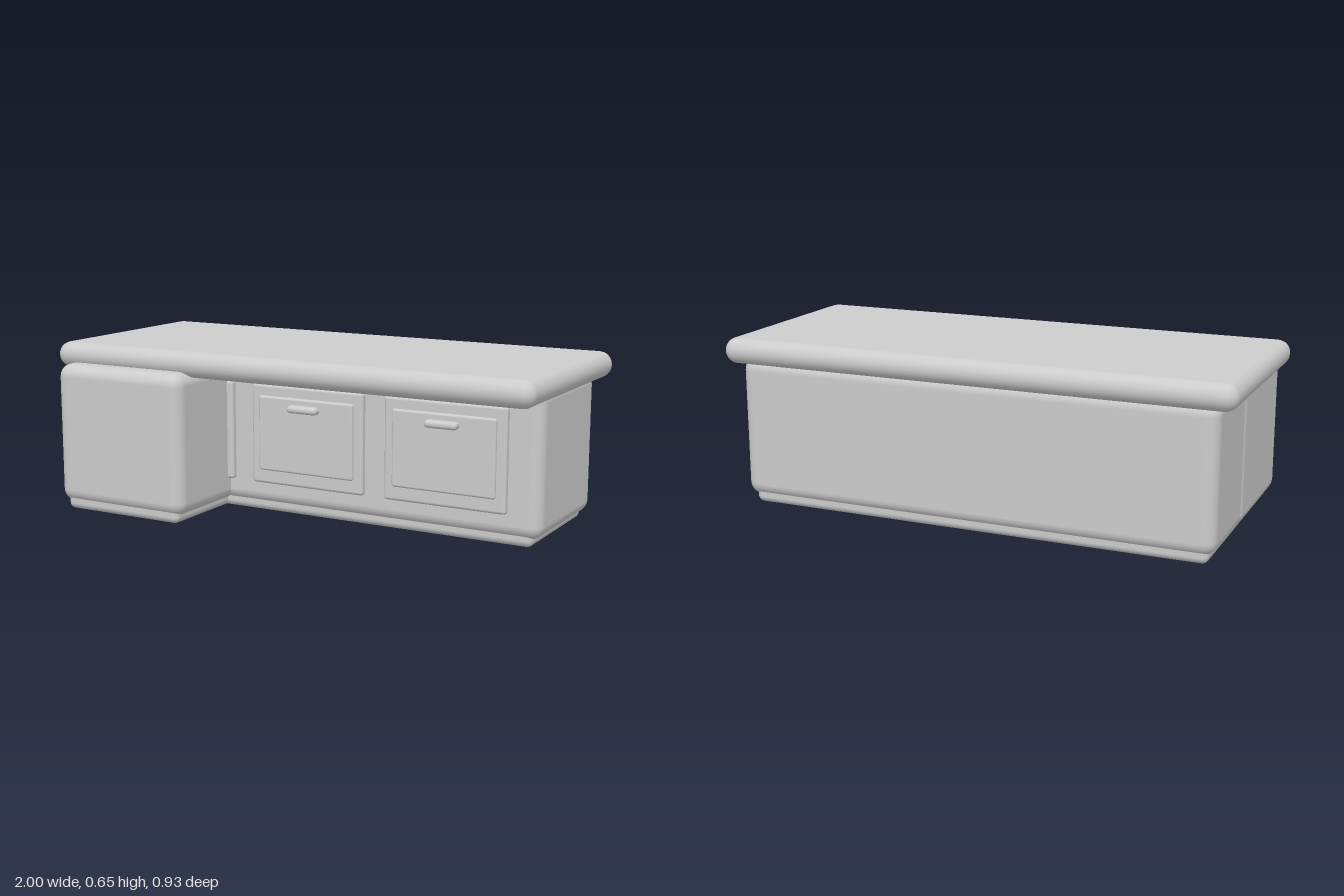
import * as THREE from 'three';
import { RoundedBoxGeometry } from 'three/addons/geometries/RoundedBoxGeometry.js';

export function createModel() {
  const model = new THREE.Group();
  model.name = 'counter';
  const grey = new THREE.MeshStandardMaterial({ color: 0xcccccc });
  grey.name = 'grey';

  // Soft-edged box given by its limits on each axis
  function block(name, [x0, x1], [y0, y1], [z0, z1], radius, parent = model) {
    const geometry = new RoundedBoxGeometry(x1 - x0, y1 - y0, z1 - z0, 3, radius);
    const mesh = new THREE.Mesh(geometry, grey);
    mesh.name = name;
    mesh.position.set((x0 + x1) / 2, (y0 + y1) / 2, (z0 + z1) / 2);
    parent.add(mesh);
    return mesh;
  }

  // Worktop, cabinet and the wing that projects at the right end
  block('worktop', [-1, 1], [0.55, 0.65], [-0.463, 0.393], 0.05);
  block('cabinet', [-0.935, 0.935], [0.028, 0.575], [-0.432, 0.115], 0.05);
  block('wing', [-0.94, -0.36], [0.028, 0.575], [-0.1, 0.465], 0.05);

  // Plinths
  block('cabinetPlinth', [-0.91, 0.9], [0, 0.09], [-0.418, 0.1], 0.025);
  block('wingPlinth', [-0.91, -0.385], [0, 0.09], [-0.1, 0.452], 0.025);

  // Trim rail below the worktop
  block('trimRail', [-0.86, 0.86], [0.522, 0.572], [0.137, 0.16], 0.011);

  // Three doors, each with a raised panel and a handle
  for (const x of [-0.576, -0.003, 0.57]) {
    const door = new THREE.Group();
    door.name = 'door';
    door.position.x = x;
    block('doorFrame', [-0.242, 0.242], [0.12, 0.51], [0.09, 0.137], 0.012, door);
    block('doorPanel', [-0.205, 0.205], [0.175, 0.467], [0.11, 0.149], 0.009, door);
    block('doorHandle', [-0.064, 0.064], [0.415, 0.443], [0.135, 0.18], 0.013, door);
    model.add(door);
  }
  return model;
}
